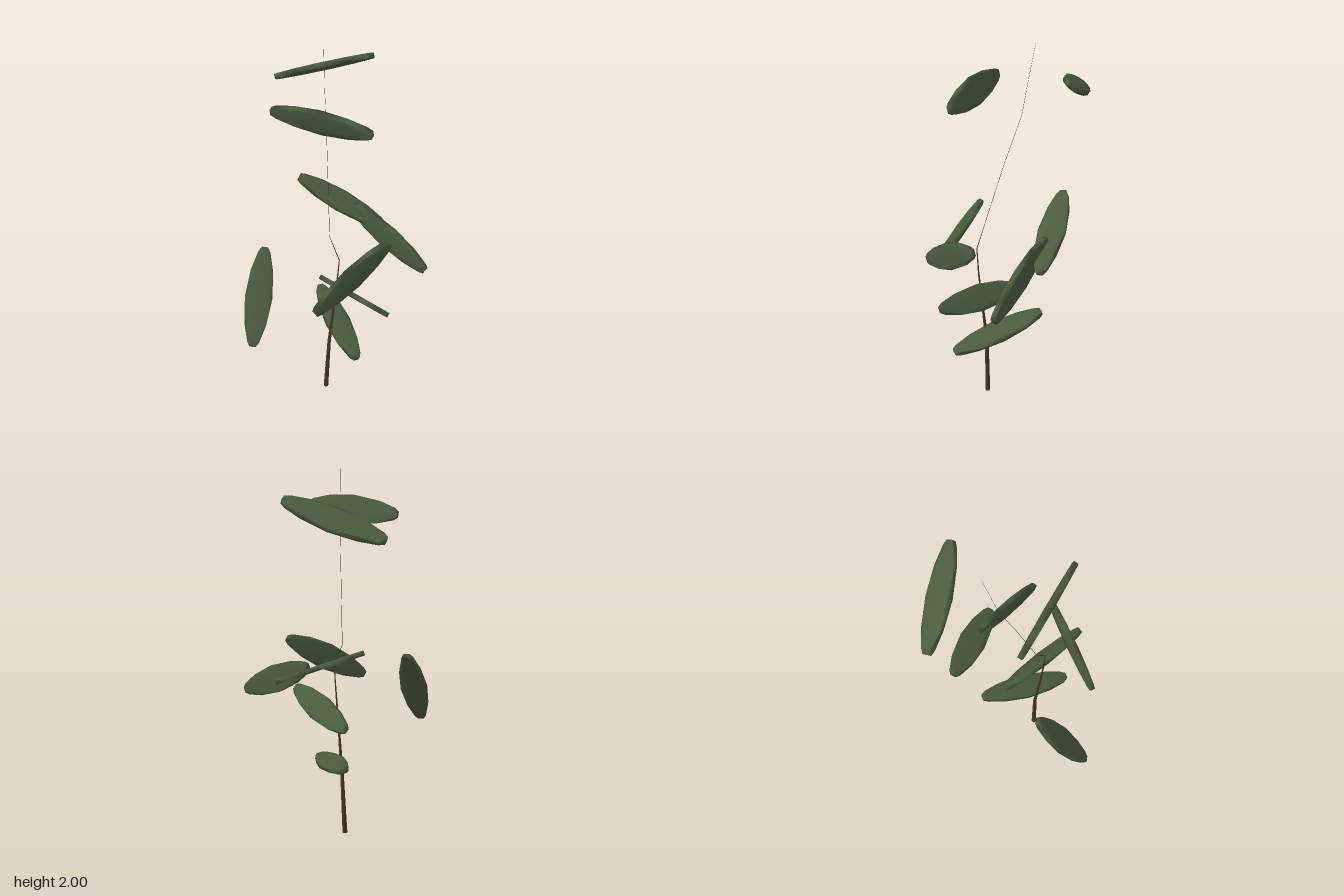
import * as THREE from 'three';
import { mergeVertices } from 'three/addons/utils/BufferGeometryUtils.js';

// Thin lens-shaped blade along x, facing z, with normals smoothed over the rim
function leafGeometry() {
  const length = 0.515, width = 0.14, thick = 0.025;
  const half = [[-0.5, 0.11], [-0.45, 0.22], [-0.27, 0.4], [0, 0.5], [0.27, 0.4], [0.45, 0.22], [0.5, 0.11]];
  const upper = half.map(([x, y]) => new THREE.Vector2(x * length, y * width));
  const lower = half.map(([x, y]) => new THREE.Vector2(x * length, -y * width)).reverse();
  const raw = new THREE.ExtrudeGeometry(new THREE.Shape([...upper, ...lower]), { depth: thick, bevelEnabled: false });
  raw.translate(0, 0, -thick / 2);
  raw.deleteAttribute('uv');
  raw.deleteAttribute('normal');
  const geo = mergeVertices(raw, 1e-4);
  geo.computeVertexNormals();
  return geo;
}

// Tapering five-sided stem through [x, y, z, radius] stations
function stemGeometry(stations, sides = 5) {
  const pos = [], index = [];
  stations.forEach(([x, y, z, r]) => {
    for (let i = 0; i < sides; i++) {
      const a = (i / sides) * Math.PI * 2;
      pos.push(x + Math.sin(a) * r, y, z + Math.cos(a) * r);
    }
  });
  for (let s = 0; s < stations.length - 1; s++) {
    for (let i = 0; i < sides; i++) {
      const a = s * sides + i, b = s * sides + (i + 1) % sides;
      index.push(a, b, b + sides, a, b + sides, a + sides);
    }
  }
  // close the foot and the tip
  const top = (stations.length - 1) * sides;
  for (let i = 1; i < sides - 1; i++) {
    index.push(0, i + 1, i, top, top + i, top + i + 1);
  }
  const geo = new THREE.BufferGeometry();
  geo.setAttribute('position', new THREE.Float32BufferAttribute(pos, 3));
  geo.setIndex(index);
  geo.computeVertexNormals();
  return geo;
}

export function createModel() {
  const model = new THREE.Group();
  model.name = 'sapling';

  const leafGreen = new THREE.MeshStandardMaterial({ color: 0x4b5c3d });
  leafGreen.name = 'leaf green';
  const barkBrown = new THREE.MeshStandardMaterial({ color: 0x4d3626 });
  barkBrown.name = 'bark brown';

  // Stem, fading to a thread towards the top
  const stem = new THREE.Mesh(stemGeometry([
    [0.006, 0, 0.043, 0.014], [0.012, 0.35, 0.058, 0.01], [0.004, 0.6, 0.088, 0.006],
    [0.0, 0.8, 0.112, 0.004], [0.0, 0.95, 0.125, 0.0025], [0.004, 1.07, 0.06, 0.0012],
    [0.075, 1.4, -0.005, 0.001], [0.135, 1.65, -0.06, 0.0008], [0.15, 1.8, -0.08, 0.0007],
    [0.175, 2, -0.105, 0.0005],
  ]), barkBrown);
  stem.name = 'stem';
  model.add(stem);

  // Leaves: two tips and the direction the blade faces
  const leaves = [
    [[-0.04, 0.375, 0.275], [0.215, 0.5, -0.155], [0, 0.96, 0.29]],
    [[-0.003, 0.742, 0.425], [0.115, 0.665, -0.072], [0.75, 0.65, 0.08]],
    [[-0.455, 0.585, -0.09], [-0.21, 1.015, -0.19], [-0.7, 0.46, 0.5]],
    [[-0.275, 0.815, 0.177], [0.13, 1.07, 0.333], [-0.35, 0, 0.94]],
    [[0.32, 1.05, -0.018], [0.334, 0.815, 0.44], [1, 0, 0]],
    [[0.235, 1.165, -0.305], [0.385, 0.95, 0.135], [0, 0.9, 0.44]],
    [[-0.112, 1.762, -0.2], [-0.012, 1.762, 0.305], [-0.94, -0.27, 0.19]],
    [[0.222, 1.72, -0.44], [0.448, 1.88, 0], [0.35, 0.8, -0.48]],
  ];
  const blade = leafGeometry();
  leaves.forEach(([from, to, facing], i) => {
    const a = new THREE.Vector3(...from), b = new THREE.Vector3(...to);
    const along = b.clone().sub(a).normalize();
    const across = new THREE.Vector3(...facing).cross(along).normalize();
    const normal = along.clone().cross(across);
    const leaf = new THREE.Mesh(blade, leafGreen);
    leaf.name = `leaf${i + 1}`;
    leaf.quaternion.setFromRotationMatrix(new THREE.Matrix4().makeBasis(along, across, normal));
    leaf.position.copy(a).add(b).multiplyScalar(0.5);
    model.add(leaf);
  });

  return model;
}
